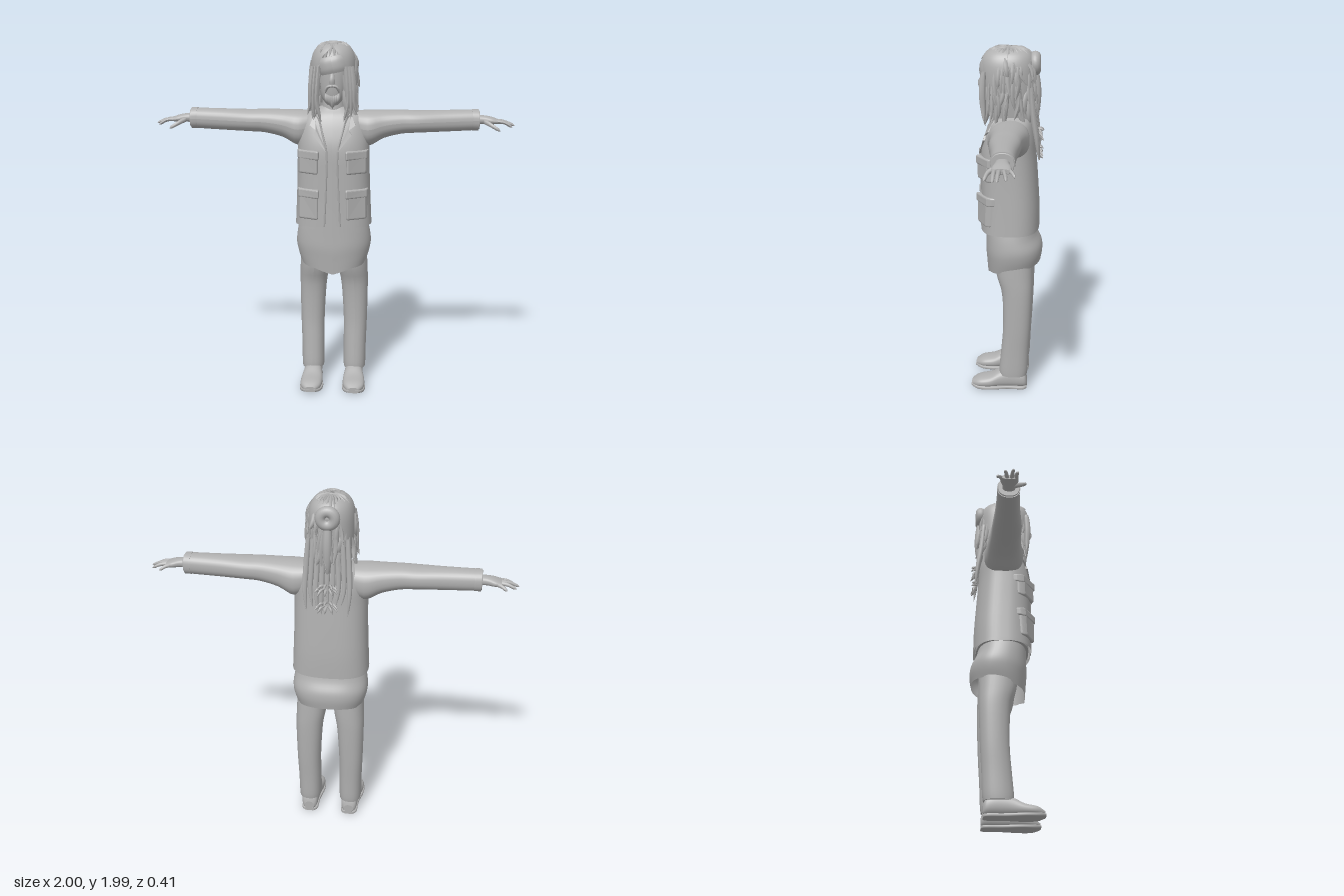
import * as THREE from 'three';
import { RoundedBoxGeometry } from 'three/addons/geometries/RoundedBoxGeometry.js';

const grey = new THREE.MeshStandardMaterial({ color: 0xb0b0b0, side: THREE.DoubleSide });
grey.name = 'plainGrey';
const V = (x, y, z) => new THREE.Vector3(x, y, z);

// Small seeded random number source
let seed = 7;
const rnd = (a, b) => {
  seed = (seed * 16807) % 2147483647;
  return a + (b - a) * (seed / 2147483647);
};

// Skin over oval cross-sections [height, cx, cz, rx, rz, halfFrontGap]
function loft(rings, { p = 0.85, seg = 32, steps = 4, cap = true } = {}) {
  const pos = [], idx = [], rows = (rings.length - 1) * steps;
  const at = i => rings[Math.max(0, Math.min(rings.length - 1, i))];
  const pow = v => Math.sign(v) * Math.abs(v) ** p;
  for (let i = 0; i <= rows; i++) {
    const k = Math.min(Math.floor(i / steps), rings.length - 2), t = i / steps - k;
    const [y, cx, cz, rx, rz, gap = 0] = rings[0].map((_, c) => {
      const [a, b, d, e] = [at(k - 1)[c], at(k)[c], at(k + 1)[c], at(k + 2)[c]];
      return b + 0.5 * t * (d - a + t * (2 * a - 5 * b + 4 * d - e + t * (3 * (b - d) + e - a)));
    });
    const g = gap > 0 ? Math.asin(Math.min(0.95, (gap / rx) ** (1 / p))) : 0;
    for (let j = 0; j <= seg; j++) {
      const a = Math.PI / 2 + g + (j / seg) * (2 * Math.PI - 2 * g);
      pos.push(cx + rx * pow(Math.cos(a)), y, cz + rz * pow(Math.sin(a)));
    }
  }
  const w = seg + 1;
  for (let i = 0; i < rows; i++) for (let j = 0; j < seg; j++) {
    const a = i * w + j, b = a + w;
    idx.push(a, b, a + 1, a + 1, b, b + 1);
  }
  if (cap) [[0, rings[0]], [rows, rings[rings.length - 1]]].forEach(([r, q]) => {
    // separate rim vertices keep the end edges sharp
    const base = pos.length / 3;
    for (let j = 0; j <= seg; j++) pos.push(...pos.slice((r * w + j) * 3, (r * w + j) * 3 + 3));
    pos.push(q[1], q[0], q[2]);
    for (let j = 0; j < seg; j++) {
      idx.push(base + w, ...(r ? [base + j + 1, base + j] : [base + j, base + j + 1]));
    }
  });
  const geo = new THREE.BufferGeometry();
  geo.setAttribute('position', new THREE.Float32BufferAttribute(pos, 3));
  geo.setIndex(idx);
  geo.computeVertexNormals();
  return geo;
}

// Move every vertex by a rule
function warp(geo, rule) {
  const P = geo.attributes.position, v = V(0, 0, 0);
  for (let i = 0; i < P.count; i++) {
    rule(v.fromBufferAttribute(P, i), i);
    P.setXYZ(i, v.x, v.y, v.z);
  }
  geo.computeVertexNormals();
  return geo;
}

// Tube along a path whose thickness follows a profile
function taper(points, r, profile, seg = 8, sides = 7) {
  const curve = new THREE.CatmullRomCurve3(points);
  const geo = new THREE.TubeGeometry(curve, seg, r, sides, false);
  return warp(geo, (v, i) => {
    const t = Math.floor(i / (sides + 1)) / seg, c = curve.getPointAt(t);
    v.sub(c).multiplyScalar(profile(t)).add(c);
  });
}
const lockShape = t => Math.max(0.02, (0.55 + 1.2 * t) * (1 - t) ** 0.7);
const fingerShape = t => (t > 0.99 ? 0.05 : 1 - 0.4 * t);

function mirrored(geo) {
  const m = geo.clone().scale(-1, 1, 1), a = m.index;
  if (a) for (let i = 0; i < a.count; i += 3) {
    const s = a.getX(i);
    a.setX(i, a.getX(i + 1));
    a.setX(i + 1, s);
  }
  else for (const at of Object.values(m.attributes)) for (let i = 0; i < at.count; i += 3) {
    for (let c = 0; c < at.itemSize; c++) {
      const s = at.getComponent(i, c);
      at.setComponent(i, c, at.getComponent(i + 1, c));
      at.setComponent(i + 1, c, s);
    }
  }
  m.computeVertexNormals();
  return m;
}

// Waistcoat sections, also used to lay pockets and lapels on its front
const vestRings = [
  [0.975, 0, -0.01, 0.215, 0.163, 0.045], [1.1, 0, -0.01, 0.209, 0.162, 0.04],
  [1.25, 0, -0.005, 0.203, 0.158, 0.033], [1.4, 0, 0, 0.2, 0.152, 0.03],
  [1.5, 0, -0.008, 0.198, 0.138, 0.055], [1.575, 0, -0.015, 0.178, 0.115, 0.075],
  [1.612, 0, -0.02, 0.12, 0.09, 0.075], [1.63, 0, -0.02, 0.075, 0.075, 0.06]];
function frontZ(x, y) {
  const k = Math.max(0, Math.min(vestRings.length - 2, vestRings.findIndex(r => r[0] > y) - 1));
  const a = vestRings[k], b = vestRings[k + 1], t = Math.max(0, (y - a[0]) / (b[0] - a[0]));
  const [cz, rx, rz] = [2, 3, 4].map(c => a[c] + (b[c] - a[c]) * t);
  const c = Math.min(0.98, (Math.abs(x) / rx) ** (1 / 0.75));
  return cz + rz * (1 - c * c) ** 0.375;
}
const layOn = geo => warp(geo, v => { v.z += frontZ(v.x, v.y); });

export function createModel() {
  const model = new THREE.Group();
  const add = (name, geo) => {
    const m = new THREE.Mesh(geo, grey);
    m.name = name;
    model.add(m);
    return m;
  };
  const pair = (name, geo) => { add(name + 'Left', geo); add(name + 'Right', mirrored(geo)); };

  // Upper clothing
  add('waistcoat', loft(vestRings, { p: 0.75, seg: 48, cap: false }));
  add('shirt', loft(vestRings.map(r => [r[0] + 0.005, 0, r[2], r[3] - 0.014, r[4] - 0.014]), { p: 0.75 }));
  pair('frontEdge', taper([[0.044, 0.98], [0.034, 1.2], [0.031, 1.4], [0.055, 1.5], [0.074, 1.575]]
    .map(([x, y]) => V(x, y, frontZ(x, y) - 0.002)), 0.006, () => 1, 20, 6));
  for (const [y, h] of [[1.335, 0.12], [1.1, 0.16]]) {
    pair('pocket', layOn(new RoundedBoxGeometry(0.115, h, 0.04, 3, 0.012).translate(0.135, y, 0.0)));
    pair('pocketFlap', layOn(new RoundedBoxGeometry(0.125, 0.05, 0.052, 3, 0.01)
      .translate(0.135, y + h / 2 - 0.015, 0.002)));
  }
  const lapel = new THREE.Shape([[0.032, 1.4], [0.105, 1.49], [0.09, 1.515], [0.125, 1.54], [0.1, 1.6], [0.072, 1.575]]
    .map(q => new THREE.Vector2(...q)));
  pair('lapel', layOn(new THREE.ExtrudeGeometry(lapel, { depth: 0.012, bevelEnabled: false })));

  // Long shirt tail with a hem that is lowest in front
  add('shirtTail', warp(loft([
    [0.7, 0, -0.033, 0.185, 0.15], [0.77, 0, -0.035, 0.204, 0.157], [0.84, 0, -0.03, 0.213, 0.157],
    [0.92, 0, -0.017, 0.205, 0.143], [1.0, 0, -0.01, 0.19, 0.135]], { cap: false, seg: 48 }), v => {
    const hem = 0.745 - 0.2 * v.z - (v.z > 0 ? 0.03 * Math.max(0, 1 - Math.abs(v.x) / 0.1) : 0);
    v.y = 1 - (1 - hem) * (1 - v.y) / 0.3;
  }));

  // Trousers and shoes
  pair('trouserLeg', loft([
    [0.09, 0.122, -0.035, 0.063, 0.08], [0.13, 0.122, -0.037, 0.065, 0.083], [0.25, 0.123, -0.045, 0.066, 0.08],
    [0.4, 0.125, -0.055, 0.069, 0.079], [0.6, 0.12, -0.056, 0.077, 0.086], [0.72, 0.108, -0.04, 0.086, 0.102],
    [0.9, 0.095, -0.025, 0.09, 0.11]]));
  pair('shoe', loft([
    [-0.115, 0.12, -0.04, 0.028, 0.025], [-0.095, 0.12, -0.058, 0.046, 0.05], [-0.02, 0.12, -0.064, 0.05, 0.058],
    [0.04, 0.12, -0.058, 0.055, 0.053], [0.1, 0.122, -0.043, 0.063, 0.037], [0.165, 0.124, -0.036, 0.058, 0.029],
    [0.205, 0.124, -0.027, 0.03, 0.016]]).rotateX(Math.PI / 2));
  pair('sole', loft([
    [-0.115, 0.12, -0.01, 0.03, 0.01], [-0.09, 0.12, -0.01, 0.048, 0.011], [0, 0.12, -0.011, 0.05, 0.011],
    [0.1, 0.122, -0.012, 0.067, 0.012], [0.17, 0.124, -0.014, 0.06, 0.012], [0.21, 0.124, -0.02, 0.03, 0.008]],
  { p: 0.5 }).rotateX(Math.PI / 2));

  // Sleeves: sections along x, with -y as the first offset
  pair('sleeve', loft([
    [0.1, -1.535, -0.02, 0.072, 0.09], [0.19, -1.513, -0.012, 0.098, 0.112], [0.28, -1.535, -0.014, 0.077, 0.096],
    [0.38, -1.548, -0.013, 0.065, 0.084], [0.47, -1.55, -0.013, 0.061, 0.081], [0.62, -1.554, -0.02, 0.059, 0.066],
    [0.78, -1.559, -0.028, 0.056, 0.058], [0.805, -1.559, -0.028, 0.05, 0.054]]).rotateZ(-Math.PI / 2));
  pair('cuff', loft([[0.765, -1.559, -0.028, 0.058, 0.06], [0.8, -1.559, -0.028, 0.058, 0.06]])
    .rotateZ(-Math.PI / 2));

  // Hands
  pair('palm', loft([
    [0.79, -1.56, -0.028, 0.026, 0.034], [0.83, -1.56, -0.028, 0.024, 0.036], [0.87, -1.556, -0.03, 0.021, 0.047],
    [0.905, -1.552, -0.03, 0.013, 0.043]]).rotateZ(-Math.PI / 2));
  const fingers = [
    [0.89, 0.002, 0.985, 0.004, 1.522], [0.895, -0.02, 1.0, -0.018, 1.528],
    [0.893, -0.042, 0.985, -0.06, 1.53], [0.88, -0.062, 0.935, -0.098, 1.532]];
  fingers.forEach(([x, z, tx, tz, ty]) => pair('finger', taper(
    [V(x, 1.553, z), V((x + tx) / 2, 1.549, (z + tz) / 2), V(tx, ty, tz)], 0.012, fingerShape)));
  pair('thumb', taper([V(0.835, 1.552, 0), V(0.87, 1.535, 0.035), V(0.915, 1.508, 0.05)], 0.014, fingerShape));

  // Head and face
  add('neck', new THREE.CylinderGeometry(0.058, 0.07, 0.16, 24).translate(0, 1.64, -0.01));
  add('head', loft([
    [1.65, 0, 0.08, 0.03, 0.04], [1.69, 0, 0.06, 0.062, 0.075], [1.76, 0, 0.035, 0.085, 0.108],
    [1.86, 0, 0.02, 0.096, 0.122], [1.93, 0, 0.01, 0.085, 0.11], [1.965, 0, 0, 0.05, 0.06]]));
  add('nose', taper([V(0, 1.83, 0.135), V(0, 1.79, 0.155), V(0, 1.77, 0.15)], 0.016,
    t => 0.6 + 0.5 * t));
  const band = add('blindfold', loft([
    [-0.045, 0, 0, 0.098, 0.13], [-0.02, 0, 0, 0.104, 0.138], [0.02, 0, 0, 0.104, 0.136], [0.045, 0, 0, 0.096, 0.124]]));
  band.position.set(0, 1.868, 0.022);
  band.rotation.z = 0.2;
  pair('moustache', taper([V(0, 1.757, 0.148), V(0.025, 1.75, 0.142), V(0.038, 1.715, 0.128)], 0.012, lockShape));
  for (let i = -3; i <= 3; i++) {
    const x = i * 0.011;
    add('beardLock', taper([V(x, 1.715, 0.125), V(x * 0.9, 1.68, 0.132), V(x * 0.6, 1.63 + Math.abs(i) * 0.01, 0.118)],
      0.014, lockShape));
  }

  // Hair mass, open over the face
  add('hairMass', loft([
    [1.6, 0, -0.015, 0.105, 0.125, 0.075], [1.7, 0, -0.005, 0.118, 0.135, 0.075], [1.8, 0, 0.004, 0.125, 0.146, 0.075],
    [1.89, 0, 0.006, 0.121, 0.147, 0.065], [1.945, 0, 0.004, 0.1, 0.128, 0.02], [1.975, 0, 0.003, 0.06, 0.085, 0],
    [1.985, 0, 0.003, 0.015, 0.02, 0]], { cap: false, seg: 40 }));

  // Ragged locks round the head
  for (let i = 0; i < 80; i++) {
    const a = Math.PI / 2 + rnd(0.55, 2 * Math.PI - 0.55), y = rnd(1.72, 1.94), len = rnd(0.1, 0.22);
    const at = (yy, k) => {
      const s = k * (yy > 1.88 ? 1 - (yy - 1.88) * 3 : 1), b = a + rnd(-0.12, 0.12);
      return V(0.123 * s * Math.cos(b), yy, 0.148 * s * Math.sin(b));
    };
    add('hairLock', taper([at(y, 0.95), at(y - len * 0.5, 1.02), at(Math.max(1.57, y - len), rnd(0.95, 1.22))],
      rnd(0.013, 0.024), lockShape, 6, 5));
  }
  // Crown strands and fringe
  for (let i = 0; i < 26; i++) {
    const a = (i / 26) * Math.PI * 2, c = Math.cos(a), s = Math.sin(a), e = rnd(0.85, 1.1);
    add('crownLock', taper([V(0.02 * c, 1.978, 0.02 * s), V(0.07 * c, 1.965, 0.095 * s),
      V(0.112 * c * e, rnd(1.87, 1.93), 0.148 * s * e)], 0.015, lockShape, 6, 5));
  }
  add('crownCoil', new THREE.TorusGeometry(0.036, 0.012, 8, 24).rotateX(Math.PI / 2).translate(0, 1.976, 0.03));
  // Front locks over the collar
  for (const [x, tx, ty] of [[0.082, 0.06, 1.56], [0.1, 0.1, 1.58], [0.115, 0.135, 1.6]]) {
    pair('frontLock', taper([V(x * 0.9, 1.86, 0.13), V(x, 1.75, 0.135), V(x * 1.03, 1.66, 0.13), V(tx, ty, 0.125)],
      0.024, lockShape, 10, 6));
  }

  // Bun, tail and long locks down the back
  add('bun', new THREE.TorusGeometry(0.036, 0.03, 14, 28).translate(0, 1.895, -0.142));
  add('bunCentre', new THREE.SphereGeometry(0.03, 16, 12).scale(1, 1, 0.6).translate(0, 1.895, -0.14));
  add('tail', taper([V(0, 1.86, -0.14), V(0, 1.76, -0.15), V(0, 1.66, -0.15), V(0, 1.57, -0.145)], 0.036,
    lockShape, 12, 10));
  for (let i = -4; i <= 4; i++) {
    const x = i * 0.026;
    add('backLock', taper([V(x, 1.78, -0.125), V(x * 1.1, 1.62, -0.14), V(x * 1.15, 1.5, -0.158),
      V(x * 1.2 + rnd(-0.02, 0.02), rnd(1.36, 1.45), -0.172)], 0.021, lockShape, 10, 6));
  }
  // Frayed tufts
  for (const y of [1.52, 1.42]) for (let i = 0; i < 9; i++) {
    const a = (i / 9) * Math.PI * 2, x = 0.02 * Math.cos(a), h = 0.012 * Math.sin(a);
    add('backTuft', taper([V(x, y + h, -0.158), V(2 * x, y + 1.6 * h, -0.172),
      V(3.2 * x, y + 2.5 * h - 0.02, rnd(-0.2, -0.175))], 0.011, lockShape, 5, 5));
  }
  return model;
}
